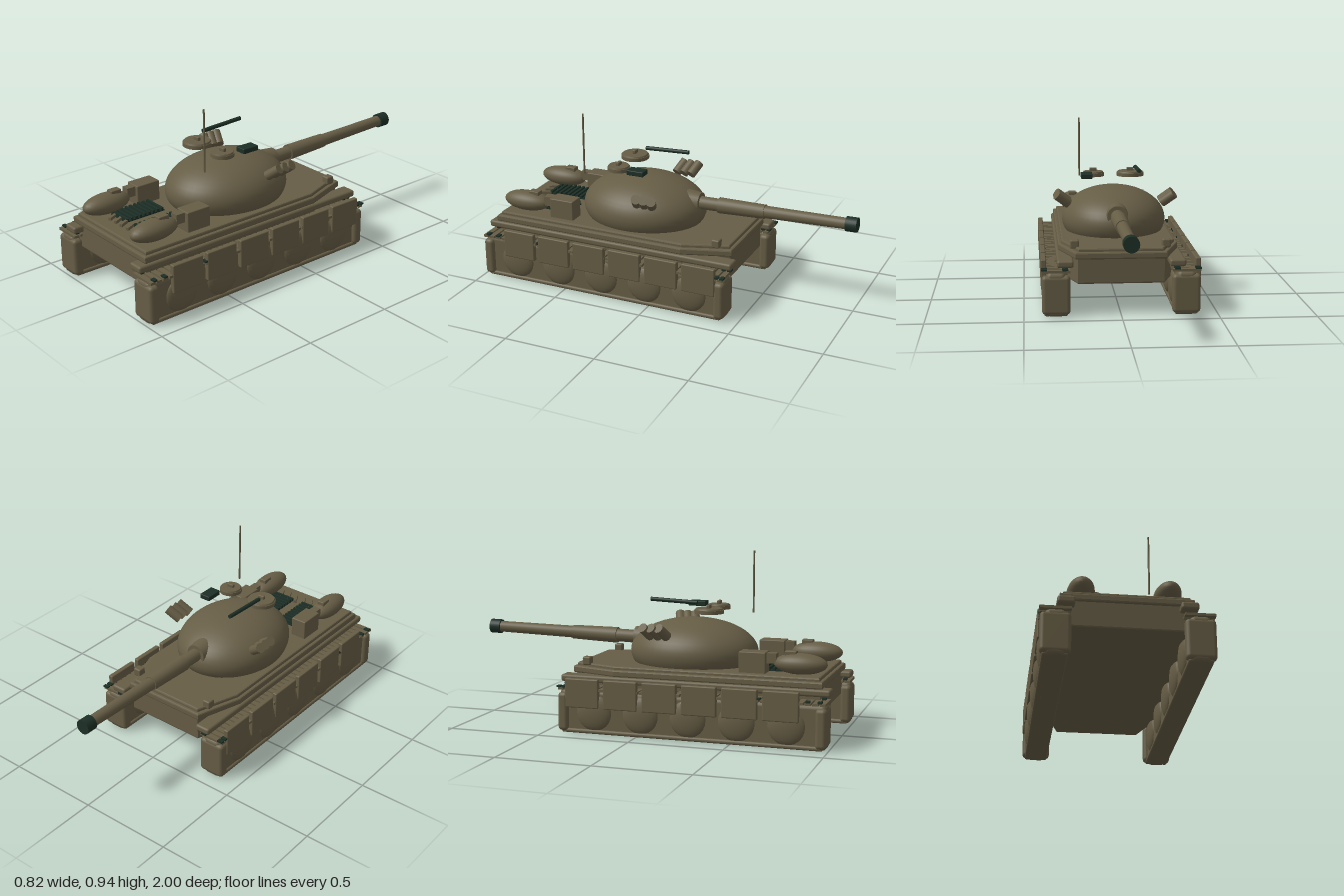
import * as THREE from 'three';
import { RoundedBoxGeometry } from 'three/addons/geometries/RoundedBoxGeometry.js';

export function createModel() {
  const model = new THREE.Group();
  const olive = new THREE.MeshStandardMaterial({ color: 0x665d45 });
  olive.name = 'olive paint';
  const dark = new THREE.MeshStandardMaterial({ color: 0x1d2f26 });
  dark.name = 'dark green metal';

  function add(name, geometry, material, x = 0, y = 0, z = 0) {
    const mesh = new THREE.Mesh(geometry, material);
    mesh.name = name;
    mesh.position.set(x, y, z);
    model.add(mesh);
    return mesh;
  }
  // Box given by its low and high limits on each axis
  function box(name, [x0, x1], [y0, y1], [z0, z1], material = olive, radius = 0) {
    const size = [x1 - x0, y1 - y0, z1 - z0];
    const geometry = radius ? new RoundedBoxGeometry(...size, 2, radius) : new THREE.BoxGeometry(...size);
    return add(name, geometry, material, (x0 + x1) / 2, (y0 + y1) / 2, (z0 + z1) / 2);
  }
  function ellipsoid(name, [rx, ry, rz], x, y, z, segments = 32) {
    return add(name, new THREE.SphereGeometry(1, segments, segments / 2).scale(rx, ry, rz), olive, x, y, z);
  }
  // Cylinder between two points
  function rod(name, from, to, r0, r1 = r0, material = olive) {
    const a = new THREE.Vector3(...from), b = new THREE.Vector3(...to);
    const mesh = add(name, new THREE.CylinderGeometry(r1, r0, a.distanceTo(b), 24), material);
    mesh.position.copy(a).add(b).multiplyScalar(0.5);
    mesh.quaternion.setFromUnitVectors(new THREE.Vector3(0, 1, 0), b.sub(a).normalize());
    return mesh;
  }
  const spanX = (s, a, b) => (s > 0 ? [a, b] : [-b, -a]);

  // Hull slab seen from above, with its gun end narrowed
  function slab(name, inset, y0, y1) {
    const w = 0.317 - inset, f = 0.235 - inset, bevel = 0.008;
    const outline = [[-f, -0.405 + inset], [f, -0.405 + inset], [w, -0.15], [w, 0.953 - inset], [-w, 0.953 - inset], [-w, -0.15]];
    const geometry = new THREE.ExtrudeGeometry(
      new THREE.Shape(outline.map(p => new THREE.Vector2(...p))),
      { depth: y1 - y0 - 2 * bevel, bevelSize: bevel, bevelThickness: bevel, bevelOffset: -bevel, bevelSegments: 2 });
    geometry.rotateX(Math.PI / 2);
    add(name, geometry, olive, 0, y1 - bevel, 0);
  }
  slab('lowerHull', 0.012, 0.165, 0.32);
  slab('upperHull', 0, 0.295, 0.332);
  slab('deck', 0.018, 0.315, 0.35);

  // Running gear, mirrored
  for (const s of [1, -1]) {
    const cx = s * 0.335;
    box('trackBody', spanX(s, 0.285, 0.385), [0, 0.232], [-0.425, 0.99], olive, 0.025);
    for (const z of [0.965, -0.4])
      box('trackEnd', spanX(s, 0.262, 0.408), [0.012, 0.215], [z - 0.028, z + 0.028], olive, 0.02);
    box('trackSole', spanX(s, 0.275, 0.395), [0.002, 0.025], [-0.41, 0.975], olive, 0.01);
    for (let i = 0; i < 5; i++) {
      const z = 0.79 - i * 0.255;
      for (const side of [1, -1])
        ellipsoid('roadWheel', [0.03, 0.098, 0.098], cx + side * 0.044, 0.115, z, 24);
    }
    for (let i = 0; i < 38; i++) {
      const z = 0.975 - i * 0.0374;
      box('trackLink', spanX(s, 0.262, 0.408), [0.23, 0.243], [z - 0.014, z + 0.014]);
    }
    for (const z of [0.96, 0.9, 0.65, 0.6, 0.4, 0.15, -0.1, -0.39, -0.42])
      for (const x of [0.285, 0.392])
        box('trackPin', spanX(s, x - 0.012, x + 0.018), [0.243, 0.252], [z - 0.01, z + 0.01], dark);
    box('fender', spanX(s, 0.245, 0.33), [0.26, 0.297], [-0.44, 0.997], olive, 0.012);
    for (let i = 0; i < 6; i++) {
      const z = 0.765 - i * 0.211;
      box('skirtPanel', spanX(s, 0.384, 0.412), [0.14, 0.293], [z - 0.092, z + 0.092], olive, 0.006);
    }
    // Deck fittings
    box('headlight', spanX(s, 0.215, 0.26), [0.34, 0.385], [-0.345, -0.3], olive, 0.008);
    ellipsoid('rearPod', [0.067, 0.054, 0.138], s * 0.208, 0.402, 0.82);
    box('podCap', spanX(s, 0.185, 0.228), [0.44, 0.466], [0.74, 0.8], olive, 0.004);
    box('stowageBox', spanX(s, 0.17, 0.26), [0.345, 0.457], [0.51, 0.65], olive, 0.005);
    box('boxLatch', spanX(s, 0.19, 0.235), [0.4, 0.452], [0.65, 0.7]);
    box('grilleBase', spanX(s, 0.035, 0.17), [0.347, 0.356], [0.58, 0.82], dark);
    for (let i = 0; i < 9; i++) {
      const z = 0.593 + i * 0.027;
      box('grilleSlat', spanX(s, 0.032, 0.172), [0.352, 0.37], [z - 0.007, z + 0.007], dark);
    }
    for (let i = 0; i < 3; i++) {
      const bar = box('deckBar', spanX(s, 0.02 + i * 0.05, 0.035 + i * 0.05), [0.347, 0.366], [0.8, 0.87]);
      bar.rotation.y = 0.45;
      // Grenade tube
      const z = 0.125 - i * 0.043;
      rod('grenadeTube', [s * 0.253, 0.513, z], [s * 0.318, 0.564, z - 0.025], 0.026);
    }
  }

  // Turret and gun
  ellipsoid('turret', [0.285, 0.178, 0.346], 0, 0.41, 0.197, 48);
  const gunY = z => 0.465 - 0.024 * z;
  const gun = (name, z0, z1, r0, r1, material) => rod(name, [0, gunY(z0), z0], [0, gunY(z1), z1], r0, r1, material);
  gun('mantlet', 0.05, -0.135, 0.08, 0.055);
  gun('barrel', -0.05, -0.96, 0.036, 0.03);
  gun('barrelSleeve', -0.24, -0.5, 0.043, 0.038);
  gun('muzzle', -0.94, -1.0, 0.039, 0.039, dark);

  // Roof hatches
  for (const [x, z, r] of [[-0.103, 0.307, 0.077], [0.105, 0.303, 0.061]]) {
    add('hatchRing', new THREE.CylinderGeometry(r, r, 0.019, 32), olive, x, 0.6345, z);
    add('hatchLid', new THREE.CylinderGeometry(r * 0.9, r * 0.95, 0.008, 32), olive, x, 0.648, z);
    box('hatchHandle', [x - 0.02, x + 0.02], [0.65, 0.671], [z - 0.009, z + 0.009], olive, 0.004);
  }
  rod('machineGun', [-0.127, 0.681, 0.25], [-0.127, 0.692, -0.005], 0.011, 0.011, dark);
  box('sightBox', [0.117, 0.18], [0.633, 0.66], [0.125, 0.222], dark, 0.004);
  rod('antenna', [0.176, 0.602, 0.475], [0.176, 0.937, 0.475], 0.005);

  return model;
}
